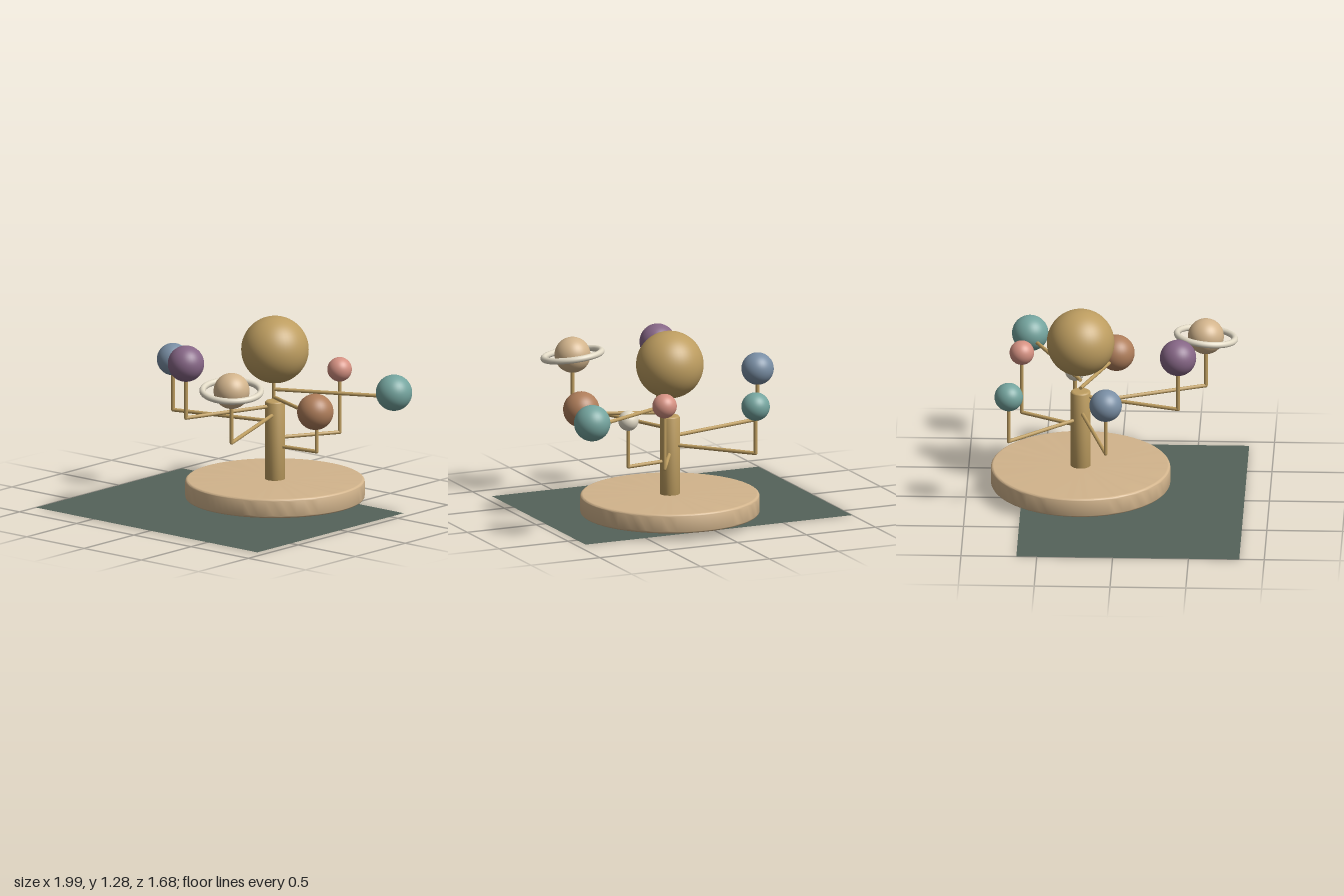
import * as THREE from 'three';
import { toCreasedNormals } from 'three/addons/utils/BufferGeometryUtils.js';

const AXIS = { x: 0.145, z: -0.25 };
const UP = new THREE.Vector3(0, 1, 0);

function paint(name, color) {
  const m = new THREE.MeshStandardMaterial({ color });
  m.name = name;
  return m;
}

function add(parent, name, geometry, material, x = 0, y = 0, z = 0) {
  const mesh = new THREE.Mesh(geometry, material);
  mesh.name = name;
  mesh.position.set(x, y, z);
  parent.add(mesh);
  return mesh;
}

// Upright disc or post with rounded rims
function roundedDisc(radius, bottom, top, bevel, segments) {
  const pts = [new THREE.Vector2(0, bottom), new THREE.Vector2(radius - bevel * 1.2, bottom)];
  const steps = 5;
  for (const [cy, start] of [[bottom + bevel, -Math.PI / 2], [top - bevel, 0]]) {
    for (let i = 0; i <= steps; i++) {
      const a = start + (i / steps) * Math.PI / 2;
      pts.push(new THREE.Vector2(radius - bevel + Math.cos(a) * bevel, cy + Math.sin(a) * bevel));
    }
  }
  pts.push(new THREE.Vector2(radius - bevel * 1.2, top), new THREE.Vector2(0, top));
  return toCreasedNormals(new THREE.LatheGeometry(pts, segments), 0.6);
}

// Round rod between two points
function rod(parent, name, a, b, radius, material) {
  const dir = b.clone().sub(a);
  const mid = a.clone().add(b).multiplyScalar(0.5);
  const mesh = add(parent, name, new THREE.CylinderGeometry(radius, radius, dir.length(), 12), material, mid.x, mid.y, mid.z);
  mesh.quaternion.setFromUnitVectors(UP, dir.normalize());
}

export function createModel() {
  const model = new THREE.Group();
  model.name = 'orrery';

  const brass = paint('brass', 0xbd9d60);
  const wood = paint('pale wood', 0xd2b48c);
  const cloth = paint('dark green', 0x55635a);
  const blue = paint('dusty blue', 0x798ea4);
  const teal = paint('teal', 0x74a49e);
  const pink = paint('coral', 0xd59182);
  const ivory = paint('ivory', 0xe2dac6);
  const brown = paint('brown', 0xae7d5a);
  const purple = paint('plum', 0x866686);
  cloth.side = THREE.DoubleSide;

  // Flat ground sheet
  const sheet = add(model, 'groundSheet', new THREE.PlaneGeometry(1.935, 1.47), cloth, -0.0325, 0, 0.1);
  sheet.rotation.x = -Math.PI / 2;

  // Stand and sun
  add(model, 'base', roundedDisc(0.592, 0.05, 0.18, 0.018, 72), wood, AXIS.x, 0, AXIS.z);
  add(model, 'column', roundedDisc(0.066, 0.15, 0.71, 0.016, 32), brass, AXIS.x, 0, AXIS.z);
  add(model, 'sun', new THREE.SphereGeometry(0.223, 48, 32), brass, AXIS.x, 1.055, AXIS.z);

  // Planets: name, material, x, y, z, radius, arm height
  const planets = [
    ['ivoryPlanet', ivory, 0.468, 0.717, -0.297, 0.067, 0.405],
    ['coralPlanet', pink, 0.366, 0.884, -0.645, 0.081, 0.458],
    ['smallTealPlanet', teal, -0.265, 0.83, -0.71, 0.094, 0.513],
    ['bluePlanet', blue, -0.58, 0.91, -0.06, 0.107, 0.567],
    ['ringedPlanet', wood, 0.475, 0.973, 0.565, 0.119, 0.621],
    ['plumPlanet', purple, -0.067, 1.043, 0.4, 0.12, 0.675],
    ['brownPlanet', brown, 0.687, 0.757, -0.032, 0.12, 0.729],
    ['largeTealPlanet', teal, 0.874, 0.812, -0.607, 0.12, 0.785],
  ];
  const armRadius = 0.0125;
  for (const [name, material, x, y, z, r, armY] of planets) {
    const group = new THREE.Group();
    group.name = name;
    model.add(group);
    const hub = new THREE.Vector3(AXIS.x, armY, AXIS.z);
    const elbow = new THREE.Vector3(x, armY, z);
    rod(group, 'arm', hub, elbow, armRadius, brass);
    rod(group, 'stem', elbow, new THREE.Vector3(x, y, z), armRadius, brass);
    add(group, 'elbow', new THREE.SphereGeometry(armRadius, 12, 8), brass, x, armY, z);
    add(group, 'globe', new THREE.SphereGeometry(r, 40, 28), material, x, y, z);

    // Tilted ring
    if (name === 'ringedPlanet') {
      const ring = add(group, 'ring', new THREE.TorusGeometry(0.192, 0.021, 16, 72), ivory, x, y, z);
      ring.quaternion.setFromUnitVectors(new THREE.Vector3(0, 0, 1), new THREE.Vector3(0.1, 1, 0.1).normalize());
    }
  }
  return model;
}
